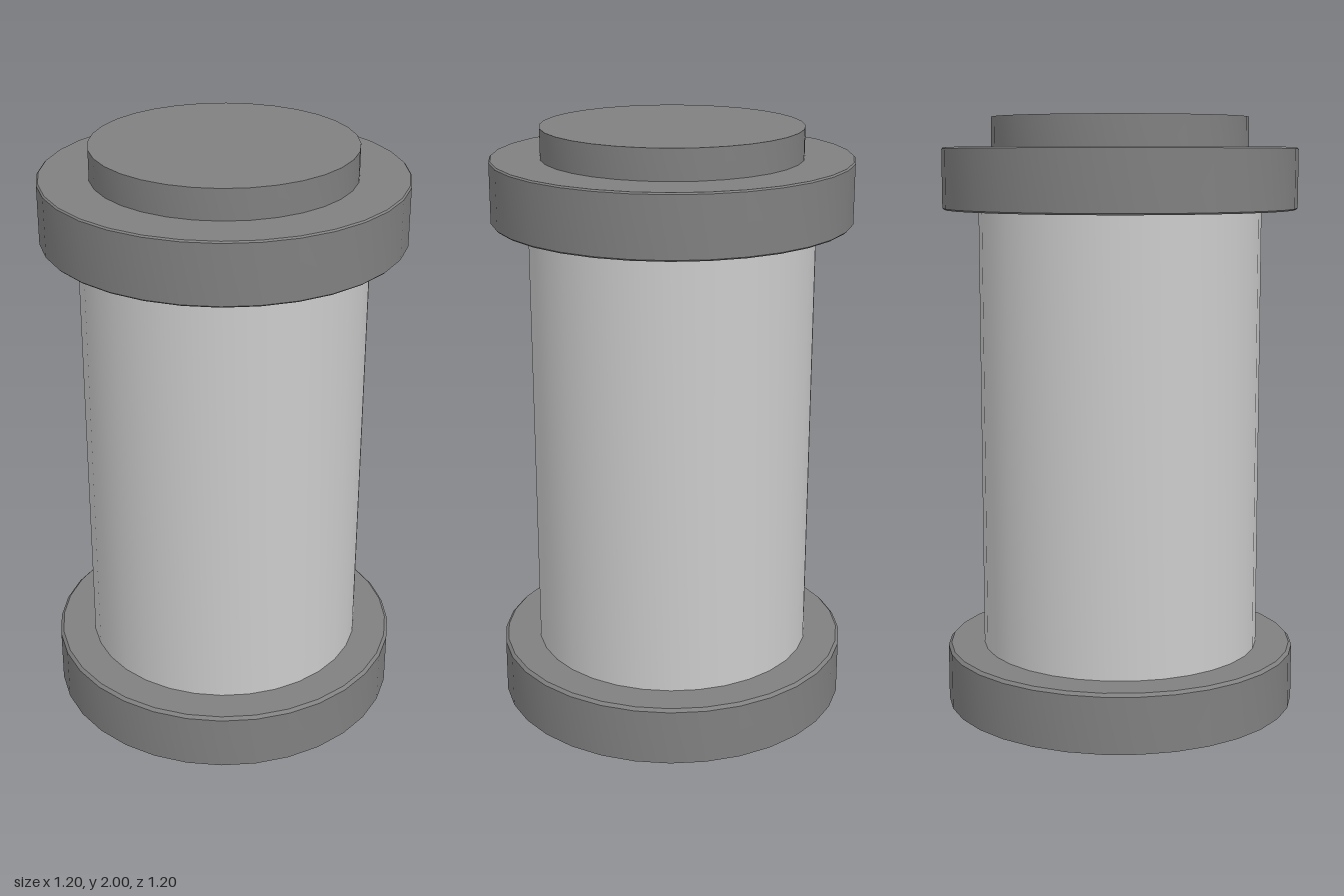
import * as THREE from 'three';
import { toCreasedNormals } from 'three/addons/utils/BufferGeometryUtils.js';

const SIDES = 32;
const bodyMaterial = new THREE.MeshStandardMaterial({ color: 0xcccccc });
const trimMaterial = new THREE.MeshStandardMaterial({ color: 0x808080 });

// Closed round part, turned from a bottom-to-top [radius, height] profile
function turned(name, profile, material) {
  const points = profile.map(([r, y]) => new THREE.Vector2(r, y));
  const geometry = toCreasedNormals(new THREE.LatheGeometry(points, SIDES), 0.6);
  const mesh = new THREE.Mesh(geometry, material);
  mesh.name = name;
  return mesh;
}

// Disc with optional small chamfers on its lower and upper rims
function disc(name, radius, y0, y1, material, lower = 0, upper = 0) {
  const profile = [[0, y0], [radius - lower, y0]];
  if (lower) profile.push([radius, y0 + lower]);
  if (upper) profile.push([radius, y1 - upper]);
  profile.push([radius - upper, y1], [0, y1]);
  return turned(name, profile, material);
}

export function createModel() {
  const model = new THREE.Group();
  model.name = 'canister';
  model.add(
    // Wide foot, sharp underneath and eased on top
    disc('base', 0.6, 0, 0.2, trimMaterial, 0, 0.01),
    // Plain cylindrical body
    disc('body', 0.475, 0.2, 1.7, bodyMaterial),
    // Overhanging collar and the raised disc on top of it
    disc('collar', 0.595, 1.695, 1.9, trimMaterial, 0.005, 0.005),
    disc('topDisc', 0.43, 1.9, 2, trimMaterial)
  );
  return model;
}
